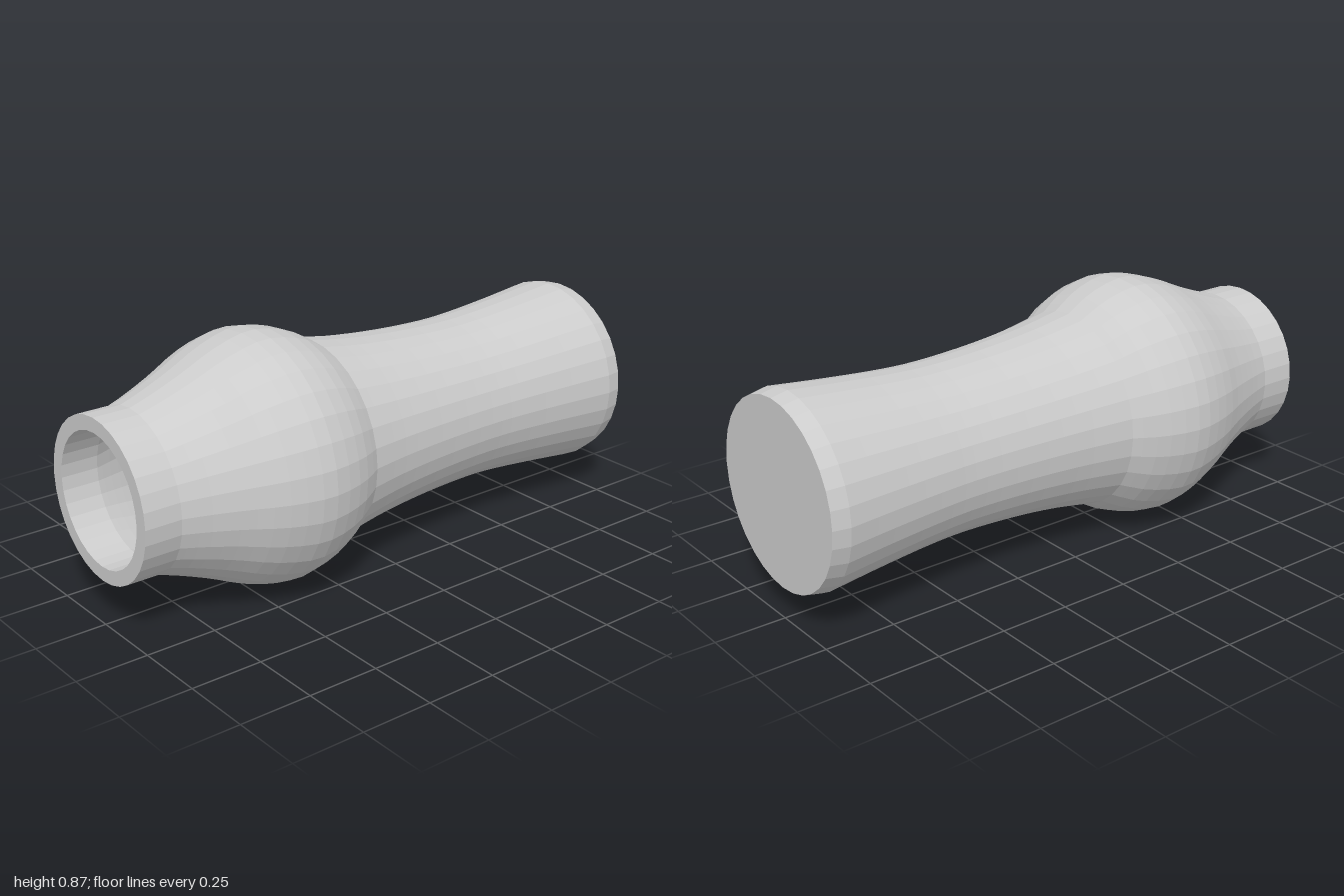
import * as THREE from 'three';

const SEGMENTS = 32;
const CENTRE_Y = 0.435;
const WALL = 0.05;

// Smooth run of [radius, z] points
function smooth(points, steps) {
  return new THREE.SplineCurve(points.map(([r, z]) => new THREE.Vector2(r, z))).getPoints(steps);
}

export function createModel() {
  const group = new THREE.Group();
  const material = new THREE.MeshStandardMaterial({ color: 0xcccccc, flatShading: true });

  // Waisted handle, from the flared back end to the crease at the bulb
  const handle = smooth([[0.336, -0.94], [0.316, -0.75], [0.299, -0.55], [0.294, -0.4],
    [0.302, -0.2], [0.321, 0], [0.348, 0.165]], 20);
  // Rounded bulb, tapering through a concave shoulder to the neck
  const bulb = smooth([[0.348, 0.165], [0.405, 0.27], [0.434, 0.41], [0.403, 0.55],
    [0.346, 0.68], [0.303, 0.79], [0.277, 0.87]], 16);

  const outer = [...handle, ...bulb.slice(1)];
  const inner = outer.map((p) => new THREE.Vector2(p.x - WALL, p.y)).reverse();

  // Closed profile: back cap, outside, rim, inside, floor of the cavity
  const profile = [
    new THREE.Vector2(0, -1),
    new THREE.Vector2(0.324, -1),
    ...outer,
    new THREE.Vector2(0.277, 1),
    new THREE.Vector2(0.277 - WALL, 1),
    ...inner,
    new THREE.Vector2(0, -0.94),
  ];

  const geometry = new THREE.LatheGeometry(profile, SEGMENTS);
  geometry.rotateX(Math.PI / 2); // lathe axis onto z, open neck to the front
  const body = new THREE.Mesh(geometry, material);
  body.name = 'hollowBody';
  body.position.y = CENTRE_Y;
  group.add(body);
  return group;
}
